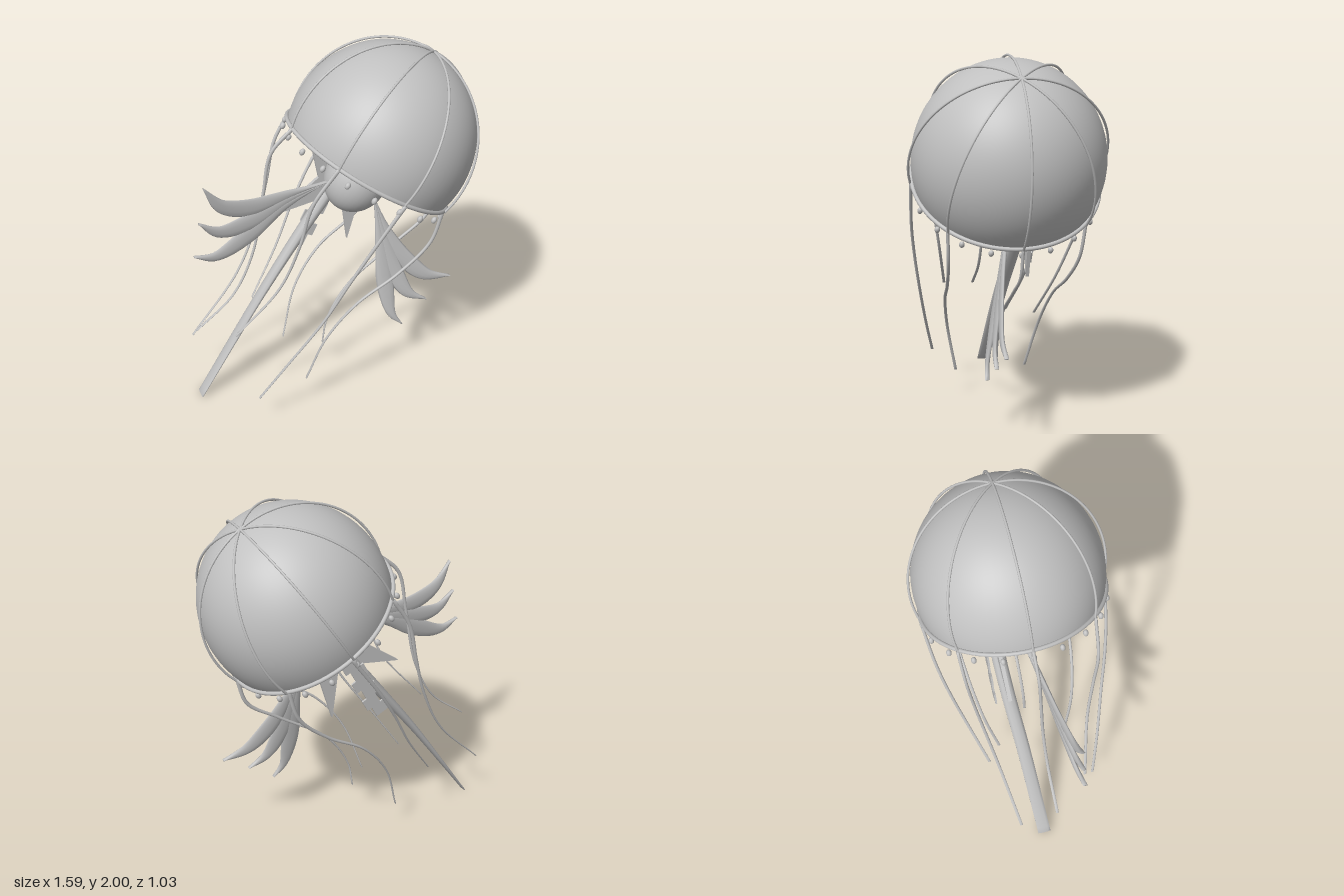
import * as THREE from 'three';

const V = (x, y, z = 0) => new THREE.Vector3(x, y, z);
const SIDES = 10;

// Elliptical loft along a path: wN is half width in the xy plane, wZ half width along z
function loft(points, wN, wZ, steps = 36) {
  const curve = new THREE.CatmullRomCurve3(points, false, 'centripetal');
  const pos = [], idx = [];
  const zAxis = V(0, 0, 1), n = V(0, 0);
  for (let i = 0; i <= steps; i++) {
    const t = i / steps;
    const p = curve.getPointAt(t);
    n.crossVectors(zAxis, curve.getTangentAt(t)).normalize();
    for (let j = 0; j < SIDES; j++) {
      const a = (j / SIDES) * Math.PI * 2;
      const c = Math.cos(a) * wN(t), s = Math.sin(a) * wZ(t);
      pos.push(p.x + n.x * c, p.y + n.y * c, p.z + s);
      if (i === steps) continue;
      const k = (j + 1) % SIDES, r = i * SIDES, q = r + SIDES;
      idx.push(r + j, r + k, q + k, r + j, q + k, q + j);
    }
  }
  // end caps
  const last = steps * SIDES;
  for (let j = 1; j < SIDES - 1; j++) {
    idx.push(0, j + 1, j, last, last + j, last + j + 1);
  }
  const g = new THREE.BufferGeometry();
  g.setAttribute('position', new THREE.Float32BufferAttribute(pos, 3));
  g.setIndex(idx);
  g.computeVertexNormals();
  return g;
}

export function createModel() {
  const model = new THREE.Group();
  model.name = 'jellyfish';
  const grey = new THREE.MeshStandardMaterial({ color: 0xc0c0c0 });
  grey.name = 'grey';
  const greyThin = grey.clone();
  greyThin.name = 'grey';
  greyThin.side = THREE.DoubleSide;
  const add = (parent, name, geometry, material = grey) => {
    const m = new THREE.Mesh(geometry, material);
    m.name = name;
    parent.add(m);
    return m;
  };

  // Tilted bell assembly, with the bell's own axis along local y
  const body = new THREE.Group();
  body.name = 'bellAssembly';
  body.position.set(0.27, 1.47, 0);
  body.rotation.z = -0.567;
  model.add(body);

  const rimY = -0.137, apex = 0.52, radius = 0.494;
  const bell = new THREE.SphereGeometry(radius, 64, 40, 0, Math.PI * 2, 0, Math.acos(rimY / apex));
  bell.scale(1, apex / radius, 1);
  add(body, 'bell', bell, greyThin);

  const rim = new THREE.TorusGeometry(0.484, 0.011, 10, 80);
  rim.rotateX(Math.PI / 2);
  add(body, 'rim', rim).position.y = rimY;

  // Eight raised ribs from apex to rim
  for (let k = 0; k < 8; k++) {
    const pts = [];
    for (let i = 0; i <= 14; i++) {
      const a = (i / 14) * 1.835;
      pts.push(V(Math.sin(a) * 0.51, Math.cos(a) * 0.529));
    }
    const rib = add(body, 'rib', new THREE.TubeGeometry(new THREE.CatmullRomCurve3(pts), 48, 0.0065, 8));
    rib.rotation.y = (k * Math.PI) / 4;
  }

  // Twenty beads hanging under the rim
  for (let k = 0; k < 20; k++) {
    const a = (k / 20) * Math.PI * 2;
    const bead = add(body, 'bead', new THREE.SphereGeometry(0.014, 12, 8));
    bead.scale.y = 1.35;
    bead.position.set(Math.cos(a) * 0.482, rimY - 0.047, Math.sin(a) * 0.482);
  }

  // Rounded core below the bell
  const core = add(body, 'core', new THREE.SphereGeometry(0.17, 32, 24));
  core.scale.y = 1.15;
  core.position.y = rimY - 0.105;

  // Trailing tentacles: xy path, with z easing from the rim to the tip as it drops
  const tentacle = (path, z0, z1) => {
    const top = path[0][1], drop = top - path[path.length - 1][1];
    const pts = path.map(([x, y]) => V(x, y, z0 + (z1 - z0) * Math.pow((top - y) / drop, 1.5)));
    add(model, 'tentacle', loft(pts, t => 0.011 - 0.008 * t, () => 0.0085, 48));
  };
  tentacle([[-0.21, 1.62], [-0.33, 1.5], [-0.38, 1.27], [-0.45, 0.92], [-0.57, 0.68], [-0.78, 0.5]], 0, 0);
  tentacle([[0.61, 1.1], [0.56, 0.94], [0.38, 0.8], [0.1, 0.59], [-0.03, 0.38], [-0.06, 0.22]], 0, 0);
  tentacle([[-0.1, 1.54], [-0.23, 1.36], [-0.29, 1.12], [-0.39, 0.85], [-0.62, 0.56]], 0.35, 0.2);
  tentacle([[-0.1, 1.54], [-0.2, 1.38], [-0.26, 1.15], [-0.33, 0.92], [-0.47, 0.64], [-0.76, 0.32]], -0.35, -0.2);
  const sidePath = [[0.2, 1.35], [0.03, 1.1], [-0.08, 0.915], [-0.2, 0.69]];
  tentacle([...sidePath, [-0.39, 0.4], [-0.53, 0.18]], 0.49, 0.29);
  tentacle([...sidePath, [-0.38, 0.42]], -0.49, -0.29);
  for (const s of [1, -1]) {
    tentacle([[0.48, 1.18], [0.42, 0.99], [0.25, 0.82], [0.03, 0.67], [-0.13, 0.46], [-0.23, 0.16]], 0.35 * s, 0.2 * s);
  }

  // Long trailing strap, flattening towards its end
  add(model, 'longStrap', loft(
    [V(0.13, 1.26, -0.13), V(0, 1.09, -0.13), V(-0.16, 0.88, -0.12), V(-0.39, 0.57, -0.095), V(-0.77, 0.005, -0.063)],
    t => 0.038 - 0.032 * t, () => 0.039));

  // Two fronds of three curved pointed blades
  const bladeWidth = t => 0.003 + 0.047 * Math.pow(Math.sin(Math.PI * Math.pow(t, 1.4)), 1.1);
  const frond = (name, zOf, blades) => {
    const g = new THREE.Group();
    g.name = name;
    model.add(g);
    for (const b of blades) {
      add(g, 'blade', loft(b.map(([x, y]) => V(x, y, zOf(x, y))), bladeWidth, () => 0.012));
    }
  };
  frond('rightFrond', x => 0.16 * (-0.03 - x) + 0.005, [
    [[-0.03, 1.275], [-0.25, 1.265], [-0.48, 1.255], [-0.63, 1.31], [-0.72, 1.435]],
    [[-0.03, 1.275], [-0.27, 1.235], [-0.48, 1.17], [-0.65, 1.165], [-0.757, 1.245]],
    [[-0.03, 1.275], [-0.3, 1.2], [-0.5, 1.09], [-0.68, 1.025], [-0.794, 1.06]]
  ]);
  frond('leftFrond', (x, y) => 0.17 * (1.12 - y), [
    [[0.24, 1.12], [0.31, 0.9], [0.4, 0.73], [0.53, 0.6], [0.677, 0.56]],
    [[0.24, 1.12], [0.29, 0.85], [0.34, 0.66], [0.42, 0.51], [0.524, 0.45]],
    [[0.24, 1.12], [0.27, 0.8], [0.285, 0.56], [0.315, 0.4], [0.37, 0.33]]
  ]);

  // Flat plates behind the core
  const plate = (name, pts, z, depth) => {
    const shape = new THREE.Shape(pts.map(([x, y]) => new THREE.Vector2(x, y)));
    add(model, name, new THREE.ExtrudeGeometry(shape, { depth, bevelEnabled: false })).position.z = z;
  };
  plate('spikedSkirt', [
    [-0.08, 1.5], [-0.03, 1.23], [-0.26, 1.055], [0.01, 1.1], [0.1, 1.08],
    [0.135, 0.805], [0.22, 1.1], [0.26, 1.06], [0.5, 1.17], [0.2, 1.4]
  ], -0.14, 0.02);

  // Stepped frill: a strip of blocks shifted alternately to each side
  const from = new THREE.Vector2(0.16, 1.35), to = new THREE.Vector2(-0.13, 0.79);
  const side = new THREE.Vector2(0.89, -0.455);
  const edges = [[], []];
  const blocks = 9;
  for (let i = 0; i < blocks; i++) {
    const shift = i % 2 ? 0.014 : -0.014;
    for (const end of [i, i + 1]) {
      const c = from.clone().lerp(to, end / blocks);
      edges.forEach((edge, e) => {
        const w = shift + (e ? -0.042 : 0.042);
        edge.push([c.x + side.x * w, c.y + side.y * w]);
      });
    }
  }
  plate('steppedFrill', [...edges[0], ...edges[1].reverse()], -0.195, 0.01);

  return model;
}
